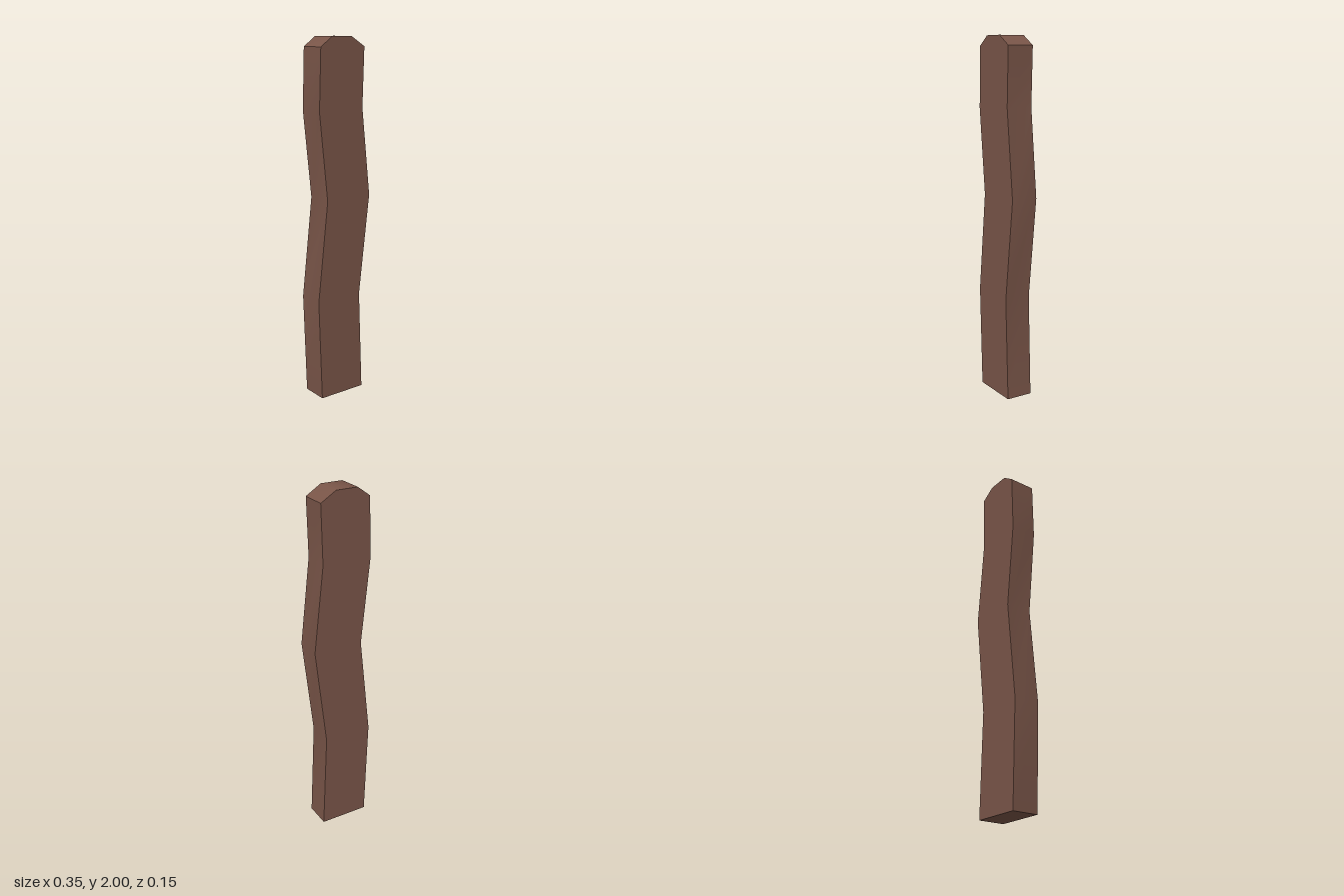
import * as THREE from 'three';
import { toCreasedNormals } from 'three/addons/utils/BufferGeometryUtils.js';

export function createModel() {
  const group = new THREE.Group();
  group.name = 'woodenPlank';

  // Wavy plank outline, counter-clockwise from the bottom left
  const outline = [
    [-0.153, 0], [0.13, 0], [0.107, 0.575], [0.174, 1.14], [0.121, 1.625], [0.131, 1.947],
    [0.045, 2], [-0.08, 2], [-0.153, 1.947], [-0.163, 1.615], [-0.112, 1.137], [-0.174, 0.575],
  ].map(([x, y]) => new THREE.Vector2(x, y));

  const depth = 0.152;
  const extruded = new THREE.ExtrudeGeometry(new THREE.Shape(outline), { depth, bevelEnabled: false });
  extruded.translate(0, 0, -depth / 2);

  // Soft shading over the bends and the rounded top, sharp at the corners
  const geometry = toCreasedNormals(extruded, 0.8);
  const plank = new THREE.Mesh(geometry, new THREE.MeshStandardMaterial({ color: 0x795548 }));
  plank.name = 'plank';
  group.add(plank);
  return group;
}
